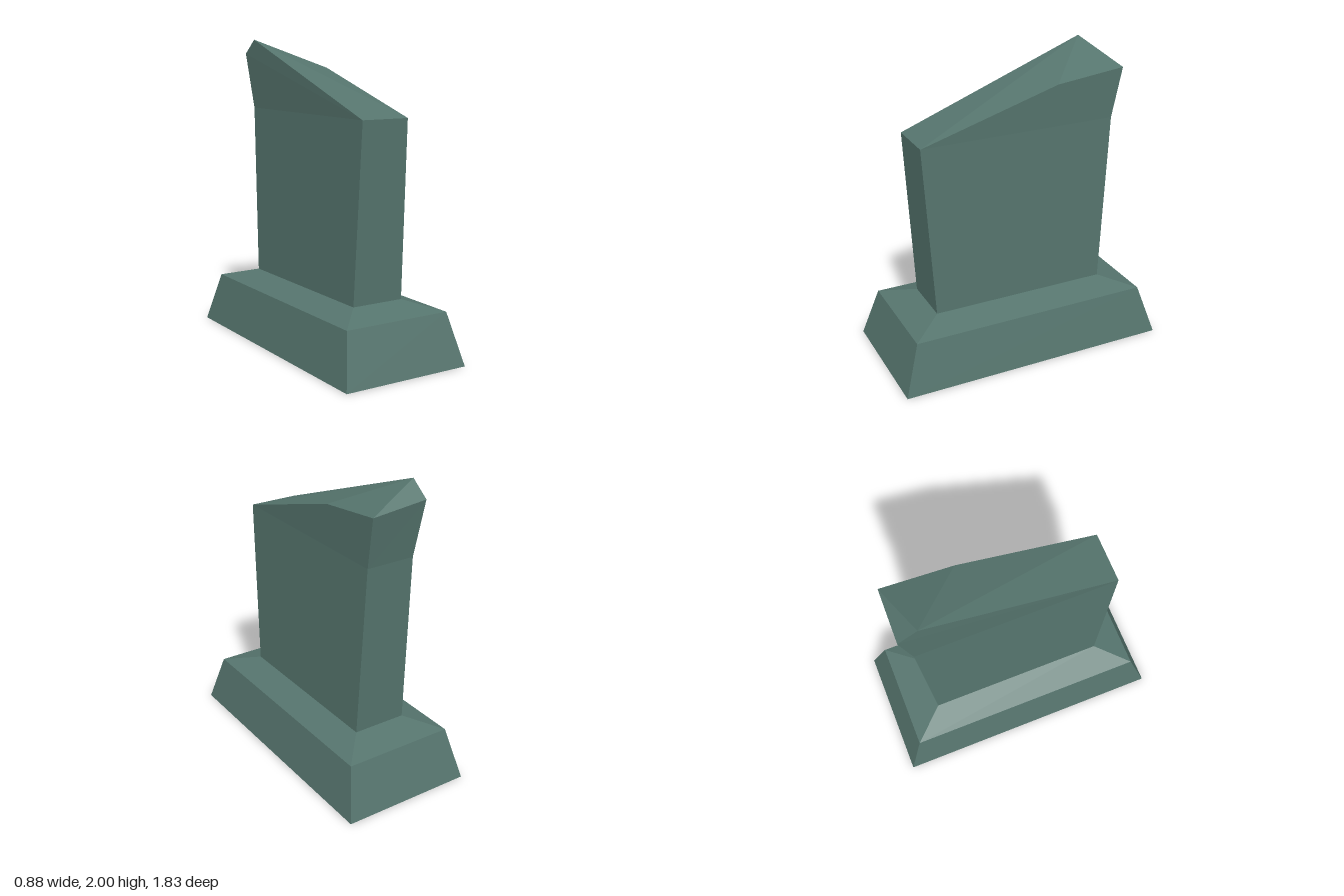
import * as THREE from 'three';

// Rectangular ring of corners: front left-hand, front right-hand, back right-hand, back left-hand
const ring = (x, z, y) => [[-x, y, z], [x, y, z], [x, y, -z], [-x, y, -z]];

// Four wall faces joining two rings
const walls = (a, b) => a.map((p, i) => {
  const j = (i + 1) % 4;
  return [p, a[j], b[j], b[i]];
});

// Each face is a loop of corners, fanned from its first corner
function shell(name, faces, material) {
  const points = [];
  for (const f of faces) {
    for (let i = 1; i < f.length - 1; i++) points.push(...f[0], ...f[i], ...f[i + 1]);
  }
  const geometry = new THREE.BufferGeometry();
  geometry.setAttribute('position', new THREE.Float32BufferAttribute(points, 3));
  geometry.computeVertexNormals();
  const mesh = new THREE.Mesh(geometry, material);
  mesh.name = name;
  return mesh;
}

export function createModel() {
  const group = new THREE.Group();
  group.name = 'brokenPillar';
  const stone = new THREE.MeshStandardMaterial({ color: 0x55746d, flatShading: true, side: THREE.DoubleSide });
  stone.name = 'green grey stone';

  const ground = ring(0.44, 0.915, 0);
  const rim = ring(0.37, 0.81, 0.335);
  const foot = ring(0.18, 0.597, 0.395);
  const shoulder = ring(0.165, 0.662, 1.533);

  // Hollow plinth: sloping sides and a shallow sloping ledge
  group.add(shell('plinth', [...walls(ground, rim), ...walls(rim, foot)], stone));

  // Slab, flaring slightly along its length
  group.add(shell('slab', walls(foot, shoulder), stone));

  // Slanted broken top
  const [frontL, frontR, backR, backL] = shoulder;
  const peak = [-0.192, 2, -0.605];
  const ridge = [0.178, 1.812, -0.26];
  const tipR = [0.18, 1.865, -0.725];
  const tipL = [-0.19, 1.905, -0.732];
  group.add(shell('slantedTop', [
    [peak, frontL, frontR, ridge],
    [peak, ridge, tipR],
    [peak, tipR, tipL],
    [frontR, backR, tipR, ridge],
    [frontL, peak, tipL, backL],
    [backR, backL, tipL, tipR],
  ], stone));

  return group;
}
